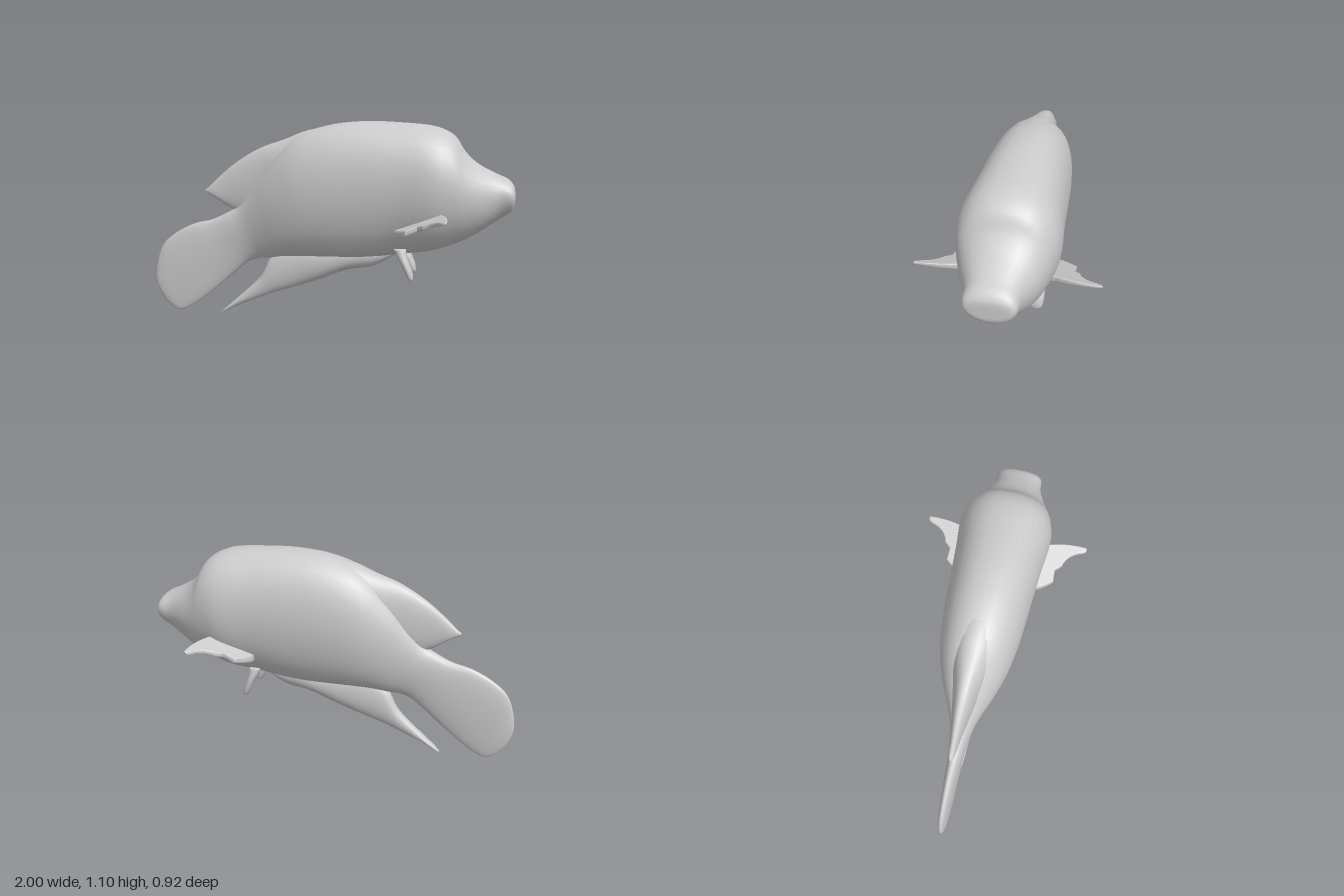
import * as THREE from 'three';

const skin = new THREE.MeshStandardMaterial({ color: 0xcccccc });
skin.name = 'pale grey skin';

// Smooth skin over sections [topX, topY, bottomX, bottomY, halfWidth],
// splined between the given sections and closed at both ends.
function loft(name, sections, { egg = 0, steps = 4, sides = 32, z = 0 } = {}) {
  const curve = (k) => new THREE.CatmullRomCurve3(
    sections.map((s) => new THREE.Vector3(...k(s))), false, 'centripetal');
  const tops = curve((s) => [s[0], s[1], s[4]]);
  const bottoms = curve((s) => [s[2], s[3], s[4]]);
  const rings = (sections.length - 1) * steps;
  const pos = [], index = [];
  for (let i = 0; i <= rings; i++) {
    const a = tops.getPoint(i / rings), b = bottoms.getPoint(i / rings);
    const w = Math.max(0.001, (a.z + b.z) / 2);
    for (let j = 0; j < sides; j++) {
      const t = (j / sides) * Math.PI * 2, c = Math.cos(t), f = (1 + c) / 2;
      const s = Math.sign(Math.sin(t)) * Math.abs(Math.sin(t)) ** 0.86;
      pos.push(b.x + (a.x - b.x) * f, b.y + (a.y - b.y) * f, z + w * s * (1 + egg * c));
      if (i < rings) {
        const n = (j + 1) % sides, r = i * sides, q = r + sides;
        index.push(r + j, q + j, r + n, r + n, q + j, q + n);
      }
    }
  }
  // end caps
  for (const [ring, flip] of [[0, false], [rings, true]]) {
    const r = ring * sides, s = sections[flip ? sections.length - 1 : 0];
    const centre = pos.length / 3;
    pos.push((s[0] + s[2]) / 2, (s[1] + s[3]) / 2, z);
    for (let j = 0; j < sides; j++) {
      const n = (j + 1) % sides;
      if (flip) index.push(centre, r + n, r + j);
      else index.push(centre, r + j, r + n);
    }
  }
  const g = new THREE.BufferGeometry();
  g.setAttribute('position', new THREE.Float32BufferAttribute(pos, 3));
  g.setIndex(index);
  g.computeVertexNormals();
  const mesh = new THREE.Mesh(g, skin);
  mesh.name = name;
  return mesh;
}

// Swept side fin: an outline in plan, thick at the root, sloping up to its leading edge
function pectoralFin(side) {
  const shape = new THREE.Shape();
  shape.moveTo(0.62, 0.12);
  shape.lineTo(0.63, 0.23);
  shape.quadraticCurveTo(0.665, 0.33, 0.66, 0.45);
  shape.quadraticCurveTo(0.645, 0.46, 0.635, 0.42);
  shape.quadraticCurveTo(0.61, 0.35, 0.55, 0.335);
  shape.lineTo(0.52, 0.3);
  shape.lineTo(0.46, 0.305);
  shape.quadraticCurveTo(0.42, 0.26, 0.4, 0.2);
  shape.lineTo(0.4, 0.12);
  const g = new THREE.ExtrudeGeometry(shape, {
    depth: 0.006, bevelEnabled: true, bevelThickness: 0.007, bevelSize: 0.006,
    bevelSegments: 3, curveSegments: 8,
  });
  g.translate(0, 0, -0.003);
  g.rotateX(side > 0 ? Math.PI / 2 : -Math.PI / 2);
  const p = g.attributes.position;
  for (let i = 0; i < p.count; i++) {
    const root = Math.max(0, 0.46 - Math.abs(p.getZ(i))) / 0.26;
    p.setY(i, p.getY(i) * (0.7 + 1.3 * root) + 0.632 - 0.4 * (0.66 - p.getX(i)));
  }
  g.computeVertexNormals();
  const mesh = new THREE.Mesh(g, skin);
  mesh.name = side > 0 ? 'pectoralFinNear' : 'pectoralFinFar';
  return mesh;
}

export function createModel() {
  const fish = new THREE.Group();
  fish.name = 'fish';

  // snout, humped head, trunk, tail stalk and broad rounded tail fin
  fish.add(loft('bodyAndTail', [
    [1.0, 0.745, 1.0, 0.69, 0.05],
    [0.993, 0.775, 0.998, 0.66, 0.105],
    [0.97, 0.802, 0.985, 0.635, 0.123],
    [0.9, 0.835, 0.92, 0.59, 0.133],
    [0.8, 0.89, 0.81, 0.515, 0.18],
    [0.74, 0.95, 0.74, 0.475, 0.208],
    [0.69, 1.025, 0.67, 0.445, 0.23],
    [0.6, 1.072, 0.57, 0.415, 0.25],
    [0.4, 1.095, 0.4, 0.39, 0.235],
    [0.2, 1.1, 0.2, 0.36, 0.222],
    [0, 1.075, 0, 0.355, 0.208],
    [-0.17, 1.01, -0.13, 0.355, 0.185],
    [-0.32, 0.86, -0.23, 0.35, 0.142],
    [-0.43, 0.71, -0.31, 0.34, 0.095],
    [-0.5, 0.625, -0.38, 0.335, 0.066],
    [-0.57, 0.585, -0.44, 0.315, 0.052],
    [-0.65, 0.548, -0.51, 0.26, 0.042],
    [-0.76, 0.52, -0.62, 0.165, 0.036],
    [-0.87, 0.465, -0.74, 0.07, 0.031],
    [-0.95, 0.395, -0.805, 0.03, 0.026],
    [-0.99, 0.29, -0.86, 0.01, 0.021],
    [-1.0, 0.2, -0.92, 0.042, 0.014],
    [-0.99, 0.15, -0.96, 0.085, 0.006],
  ], { egg: 0.1 }));

  // dorsal fin running back to a point
  fish.add(loft('dorsalFin', [
    [0.08, 1.075, 0, 0.9, 0.05],
    [-0.1, 1.05, -0.1, 0.8, 0.10],
    [-0.23, 1.0, -0.22, 0.68, 0.095],
    [-0.36, 0.955, -0.34, 0.6, 0.066],
    [-0.5, 0.875, -0.45, 0.58, 0.043],
    [-0.6, 0.795, -0.53, 0.61, 0.028],
    [-0.67, 0.73, -0.63, 0.67, 0.018],
    [-0.692, 0.712, -0.685, 0.702, 0.006],
  ]));

  // anal fin sweeping down to a long tip
  fish.add(loft('analFin', [
    [0.42, 0.42, 0.4, 0.395, 0.03],
    [0.33, 0.44, 0.27, 0.32, 0.055],
    [0.18, 0.44, 0.12, 0.29, 0.066],
    [0, 0.43, -0.02, 0.235, 0.062],
    [-0.16, 0.42, -0.18, 0.178, 0.052],
    [-0.3, 0.36, -0.3, 0.14, 0.044],
    [-0.37, 0.235, -0.4, 0.1, 0.034],
    [-0.5, 0.11, -0.51, 0.055, 0.026],
    [-0.585, 0.035, -0.59, 0.014, 0.017],
    [-0.613, 0.006, -0.613, 0.001, 0.006],
  ]));

  for (const side of [1, -1]) {
    fish.add(pectoralFin(side));
    // short blunt pelvic fin
    fish.add(loft(side > 0 ? 'pelvicFinNear' : 'pelvicFinFar', [
      [0.385, 0.435, 0.45, 0.435, 0.025],
      [0.4, 0.4, 0.455, 0.4, 0.034],
      [0.425, 0.35, 0.468, 0.36, 0.041],
      [0.448, 0.3, 0.487, 0.31, 0.038],
      [0.467, 0.272, 0.49, 0.278, 0.03],
      [0.478, 0.264, 0.488, 0.266, 0.01],
    ], { z: side * 0.11, sides: 16 }));
  }
  return fish;
}
